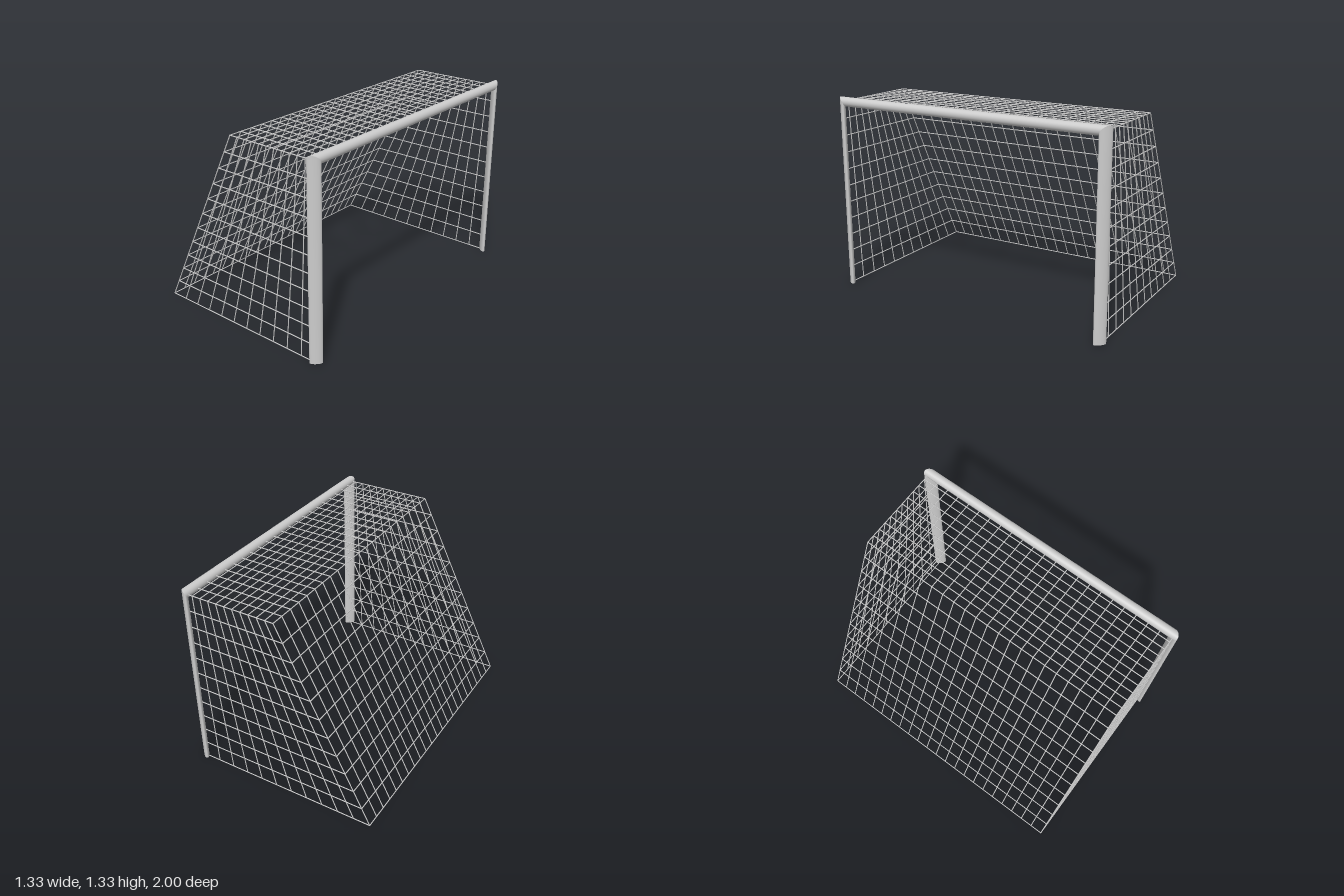
import * as THREE from 'three';
import { mergeGeometries } from 'three/addons/utils/BufferGeometryUtils.js';

const POST_X = 0.633, POST_R = 0.032, HALF = 0.968, TOP = 1.301;
const BASE = 0.004, BACK_LOW = -0.663, BACK_HIGH = -0.017;
const NET_HALF = 0.971, CORD_R = 0.0035, ROWS = 11, COLS = 22;
const SKEW = Math.SQRT1_2; // skew of the post's oval section and of the corner cut
const V = (x, y, z) => new THREE.Vector3(x, y, z);
const lerp = THREE.MathUtils.lerp;

// Straight cords joining the points of a polyline
function addCord(list, points) {
  for (let i = 0; i + 1 < points.length; i++) {
    const dir = points[i + 1].clone().sub(points[i]);
    const g = new THREE.CylinderGeometry(CORD_R, CORD_R, dir.length(), 6);
    g.applyQuaternion(new THREE.Quaternion().setFromUnitVectors(V(0, 1, 0), dir.clone().normalize()));
    const mid = points[i].clone().lerp(points[i + 1], 0.5);
    list.push(g.translate(mid.x, mid.y, mid.z));
  }
}

// Open round tube whose ends are cut by moving their vertices along the tube
function cutTube(length, shift) {
  const g = new THREE.CylinderGeometry(POST_R, POST_R, length, 32, 1, true);
  const p = g.attributes.position;
  for (let i = 0; i < p.count; i++) {
    p.setY(i, p.getY(i) + shift(p.getX(i), p.getZ(i), Math.sign(p.getY(i))));
  }
  return g;
}

export function createModel() {
  const model = new THREE.Group();
  const material = new THREE.MeshStandardMaterial({ color: 0xcccccc });
  const add = (name, geometry) => {
    const mesh = new THREE.Mesh(geometry, material);
    mesh.name = name;
    model.add(mesh);
  };

  // Posts: diagonal oval section, cut to meet the crossbar, capped at the foot
  for (const side of [1, -1]) {
    const height = TOP - BASE;
    const tube = cutTube(height, (x, z, end) => (end > 0 ? side * z : 0));
    const foot = new THREE.CircleGeometry(POST_R, 32).rotateX(Math.PI / 2).translate(0, -height / 2, 0);
    const skew = new THREE.Matrix4().set(
      1, 0, 0, 0,
      0, 1, 0, 0,
      -side * SKEW, 0, SKEW, 0,
      0, 0, 0, 1);
    add(side > 0 ? 'leftPost' : 'rightPost',
      mergeGeometries([tube, foot]).applyMatrix4(skew).translate(POST_X, BASE + height / 2, side * HALF));
  }

  // Round crossbar, its ends cut to the same slanted plane as the posts
  add('crossbar', cutTube(2 * HALF, (x, z, end) => -end * SKEW * (x + z))
    .rotateX(Math.PI / 2).translate(POST_X, TOP, 0));

  const cords = [];
  // Level rows running round both sides and the back
  for (let j = 0; j < ROWS; j++) {
    const t = j / ROWS, y = lerp(BASE, TOP, t), x = lerp(BACK_LOW, BACK_HIGH, t);
    addCord(cords, [V(POST_X, y, NET_HALF), V(x, y, NET_HALF), V(x, y, -NET_HALF), V(POST_X, y, -NET_HALF)]);
  }
  // Hoops running up one side, across the roof and down the other side
  for (let i = 1; i < ROWS; i++) {
    const low = lerp(BACK_LOW, POST_X, i / ROWS), high = lerp(BACK_HIGH, POST_X, i / ROWS);
    addCord(cords, [V(low, BASE, NET_HALF), V(high, TOP, NET_HALF), V(high, TOP, -NET_HALF), V(low, BASE, -NET_HALF)]);
  }
  // Top back edge
  addCord(cords, [V(BACK_HIGH, TOP, NET_HALF), V(BACK_HIGH, TOP, -NET_HALF)]);
  // Columns running up the back and forward over the roof
  for (let k = 0; k <= COLS; k++) {
    const z = lerp(-NET_HALF, NET_HALF, k / COLS);
    addCord(cords, [V(BACK_LOW, BASE, z), V(BACK_HIGH, TOP, z), V(POST_X, TOP, z)]);
  }
  add('net', mergeGeometries(cords));

  return model;
}
